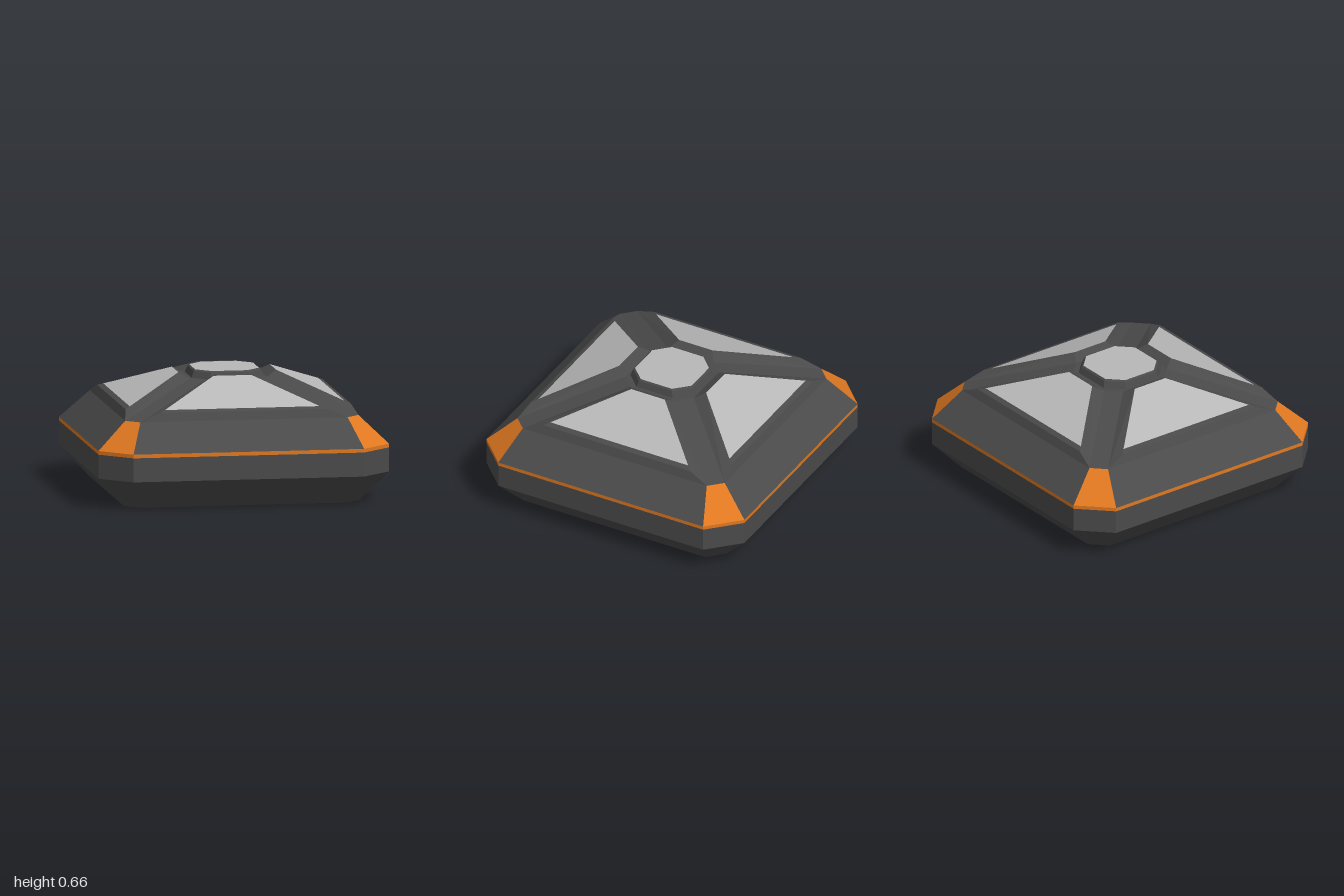
import * as THREE from 'three';

const shell = new THREE.MeshStandardMaterial({ color: 0x4a4a4a, name: 'dark shell' });
const panel = new THREE.MeshStandardMaterial({ color: 0xb8b8b8, name: 'pale panel' });
const trim = new THREE.MeshStandardMaterial({ color: 0xe07820, name: 'orange trim' });

// Truncated diamond: corners reach out to a, each corner facet is 2b wide
const ring = (a, b, y) => [
  [-b, y, a], [b, y, a], [a, y, b], [a, y, -b],
  [b, y, -a], [-b, y, -a], [-a, y, -b], [-a, y, b],
];

// Flat-faced mesh from convex polygons, corners counter-clockwise from outside
function polyMesh(name, material, polygons) {
  const pos = [];
  for (const p of polygons)
    for (let i = 1; i < p.length - 1; i++) pos.push(...p[0], ...p[i], ...p[i + 1]);
  const g = new THREE.BufferGeometry();
  g.setAttribute('position', new THREE.Float32BufferAttribute(pos, 3));
  g.computeVertexNormals();
  const mesh = new THREE.Mesh(g, material);
  mesh.name = name;
  return mesh;
}

// Side faces between rings
function loft(...rings) {
  const faces = [];
  for (let k = 0; k < rings.length - 1; k++)
    for (let i = 0; i < 8; i++) {
      const j = (i + 1) % 8;
      faces.push([rings[k][i], rings[k][j], rings[k + 1][j], rings[k + 1][i]]);
    }
  return faces;
}

// The two ends of one diagonal edge, s near the z axis and t near the x axis
const edge = (a, b, y) => ({ s: [b, y, a], t: [a, y, b] });
const strip = (lo, hi) => [lo.s, lo.t, hi.t, hi.s];

export function createModel() {
  const model = new THREE.Group();

  // Lower body with chamfered underside
  const foot = ring(0.845, 0.06, 0);
  const belly = ring(1, 0.115, 0.16);
  const waist = ring(1, 0.115, 0.29);
  model.add(polyMesh('lowerBody', shell, [[...foot].reverse(), ...loft(foot, belly, waist)]));

  // Thin band around the waist
  model.add(polyMesh('waistStripe', trim, loft(waist, ring(1, 0.115, 0.31))));

  // Upper quarter, repeated four times
  const rim = edge(1, 0.115, 0.31);
  const shoulder = edge(0.845, 0.05, 0.46);
  const lip = edge(0.75, 0.115, 0.505);
  const panelLow = edge(0.71, 0.115, 0.516);
  const panelHigh = edge(0.26, 0.115, 0.646);
  const hub = edge(0.245, 0.05, 0.615);
  const flip = ([x, y, z]) => [-x, y, z];

  for (let i = 0; i < 4; i++) {
    const quarter = new THREE.Group();
    quarter.name = 'upperQuarter';
    quarter.rotation.y = i * Math.PI / 2;
    quarter.add(
      polyMesh('sideFrame', shell, [
        strip(rim, shoulder), strip(shoulder, lip), strip(lip, panelLow),
      ]),
      polyMesh('roofPanel', panel, [strip(panelLow, panelHigh)]),
      // Sloping walls and floor of the channel between panels
      polyMesh('channel', shell, [
        [shoulder.t, hub.t, panelHigh.t, panelLow.t, lip.t],
        [shoulder.s, lip.s, panelLow.s, panelHigh.s, hub.s],
        strip(panelHigh, hub),
        [flip(shoulder.s), shoulder.s, hub.s, flip(hub.s)],
      ]),
      polyMesh('cornerPlate', trim, [[flip(rim.s), rim.s, shoulder.s, flip(shoulder.s)]]),
    );
    model.add(quarter);
  }

  // Central hub: channel floor, raised rim and pale cap
  const capEdge = ring(0.19, 0.055, 0.658);
  model.add(polyMesh('hubFloor', shell, [ring(0.245, 0.05, 0.615)]));
  model.add(polyMesh('hubRim', shell, loft(ring(0.215, 0.06, 0.615), ring(0.2, 0.057, 0.65), capEdge)));
  model.add(polyMesh('hubCap', panel, [capEdge]));

  return model;
}
